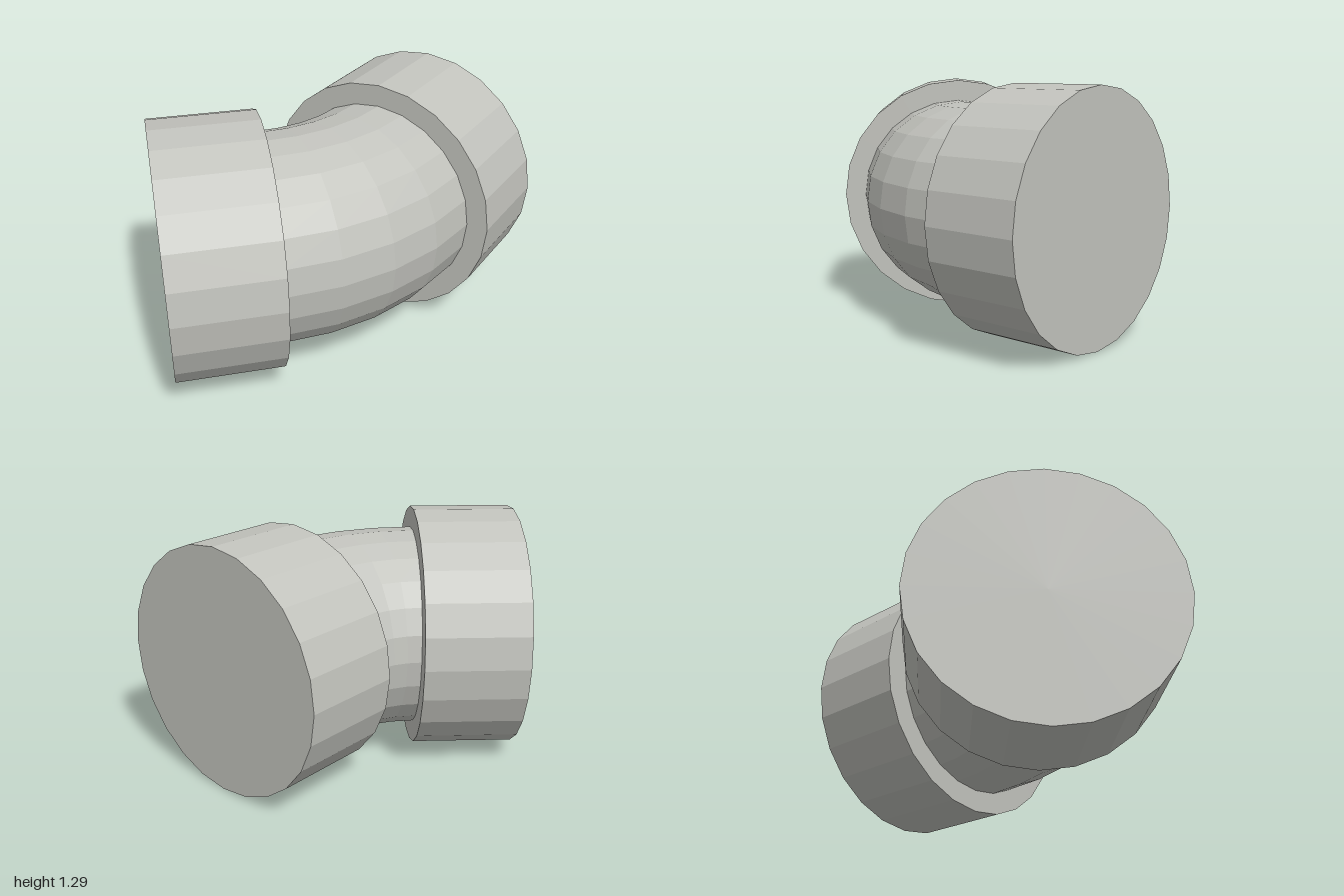
import * as THREE from 'three';

export function createModel() {
  const model = new THREE.Group();
  model.name = 'pipeElbow';

  const grey = new THREE.MeshStandardMaterial({ color: 0xc2c3bd, flatShading: true });
  grey.name = 'warm grey';

  const SIDES = 24;
  const BEND = Math.PI / 4;
  const COLLAR_RADIUS = 0.646, COLLAR_LENGTH = 0.53;
  const PIPE_RADIUS = 0.533, BEND_RADIUS = 0.898;
  // centre of the bend's arc
  const cx = -0.47, cy = COLLAR_RADIUS, cz = 0.22 - BEND_RADIUS;

  // Curved pipe: a 45 degree piece of torus lying flat, sweeping from +z towards +x
  const bendGeometry = new THREE.TorusGeometry(BEND_RADIUS, PIPE_RADIUS, SIDES, 4, BEND);
  bendGeometry.applyMatrix4(new THREE.Matrix4().makeBasis(
    new THREE.Vector3(0, 0, 1), new THREE.Vector3(1, 0, 0), new THREE.Vector3(0, 1, 0)));
  const bend = new THREE.Mesh(bendGeometry, grey);
  bend.name = 'bentPipe';
  bend.position.set(cx, cy, cz);
  model.add(bend);

  // Closed collars, one running outwards from each end of the bend
  const addCollar = (name, angle, direction) => {
    const geometry = new THREE.CylinderGeometry(COLLAR_RADIUS, COLLAR_RADIUS, COLLAR_LENGTH, SIDES);
    geometry.rotateZ(-Math.PI / 2);
    geometry.translate(direction * COLLAR_LENGTH / 2, 0, BEND_RADIUS);
    const collar = new THREE.Mesh(geometry, grey);
    collar.name = name;
    collar.position.set(cx, cy, cz);
    collar.rotation.y = angle;
    model.add(collar);
  };
  addCollar('straightCollar', 0, -1);
  addCollar('angledCollar', BEND, 1);

  return model;
}
